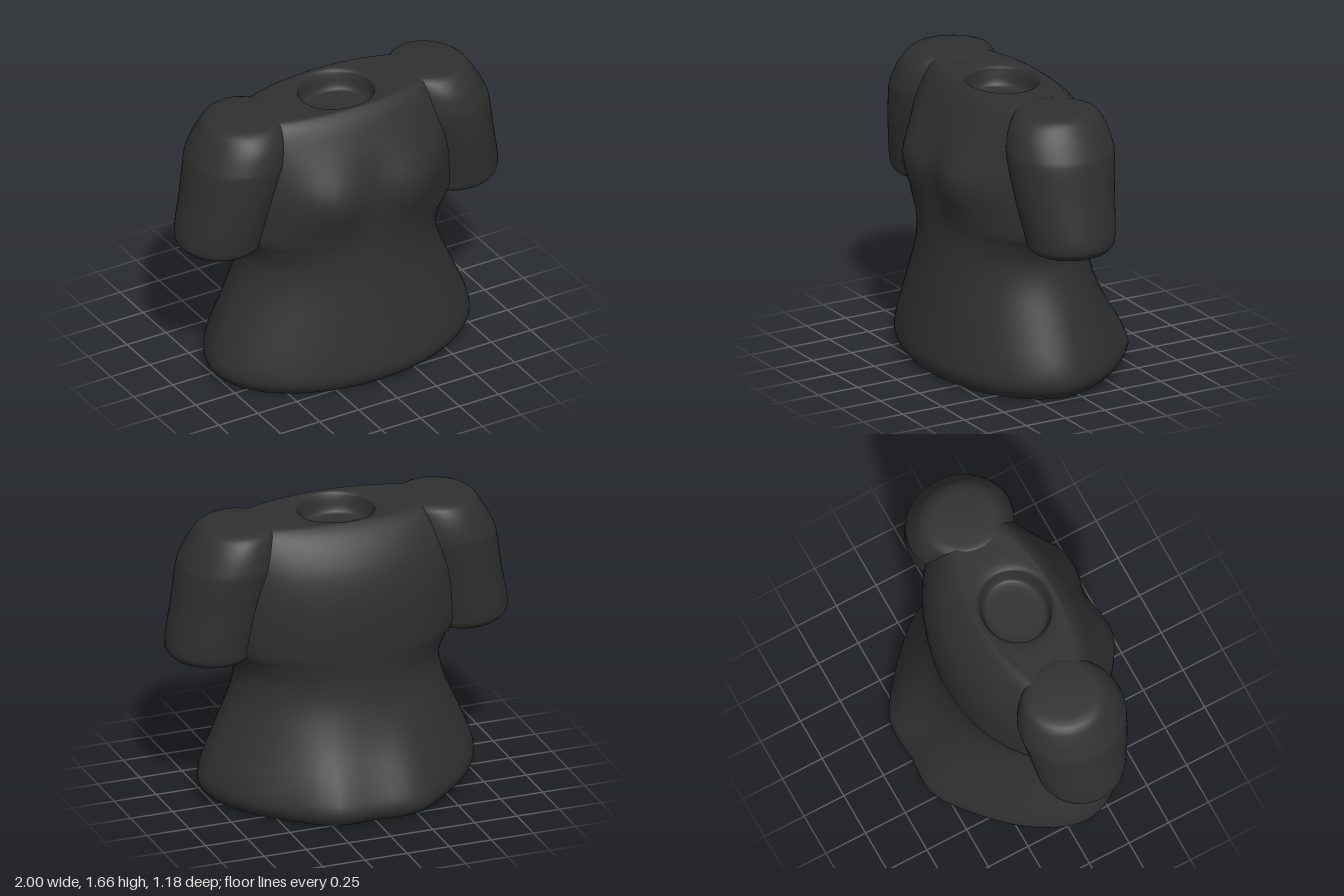
import * as THREE from 'three';

const SEG = 64, SUB = 4;
const gauss = (d, s) => Math.exp(-(d * d) / (s * s));

// Catmull-Rom blend of four rows of numbers
function blend(p0, p1, p2, p3, t) {
  return p1.map((b, k) => {
    const a = p0[k], c = p2[k], d = p3[k];
    return 0.5 * (2 * b + (c - a) * t + (2 * a - 5 * b + 4 * c - d) * t * t + (3 * b - a - 3 * c + d) * t * t * t);
  });
}

// Skin through closed cross-sections; row = [y, centre x, half width, z front, z back, z centre]
function loft(rows, shape) {
  const rings = [];
  for (let i = 0; i < rows.length - 1; i++) {
    for (let s = 0; s < SUB; s++) {
      rings.push(blend(rows[Math.max(i - 1, 0)], rows[i], rows[i + 1], rows[Math.min(i + 2, rows.length - 1)], s / SUB));
    }
  }
  rings.push(rows[rows.length - 1]);
  const pos = [], index = [];
  rings.forEach(([y, cx, hw, zf, zb, cz], i) => {
    for (let j = 0; j < SEG; j++) {
      const a = (j / SEG) * Math.PI * 2, s = Math.sin(a);
      const p = new THREE.Vector3(cx + hw * Math.cos(a), Math.max(y, 0), cz + (s > 0 ? zf - cz : cz - zb) * s);
      if (shape) shape(p, s, cz, cz - zb);
      pos.push(p.x, p.y, p.z);
      if (i < rings.length - 1) {
        const k = (j + 1) % SEG, r = i * SEG, u = r + SEG;
        index.push(r + j, u + j, r + k, r + k, u + j, u + k);
      }
    }
  });
  const g = new THREE.BufferGeometry();
  g.setAttribute('position', new THREE.Float32BufferAttribute(pos, 3));
  g.setIndex(index);
  g.computeVertexNormals();
  return g;
}

// Chest and seat swellings on the torso
function shapeTorso(p, s, cz, depth) {
  const ax = Math.abs(p.x);
  if (s > 0) {
    p.z += 0.085 * gauss(ax - 0.26, 0.22) * gauss(p.y - 1.19, 0.19) * Math.min(1, s * 1.5);
  } else {
    const low = 1 - THREE.MathUtils.smoothstep(p.y, 0.1, 0.7);
    p.z = cz - depth * Math.pow(-s, 1 + 0.3 * low);
    if (p.y > 0.015) p.z -= 0.045 * low * gauss(ax - 0.25, 0.16);
  }
}

export function createModel() {
  const model = new THREE.Group();
  const cloth = new THREE.MeshStandardMaterial({ color: 0x303030 });
  const add = (name, geometry) => {
    const mesh = new THREE.Mesh(geometry, cloth);
    mesh.name = name;
    model.add(mesh);
  };

  // Torso: closed hem, waist, chest, shoulders, then down into the neck recess
  const torso = [
    [0, 0, 0, 0.08, 0.08, 0.08],
    [0, 0, 0.45, 0.36, -0.3, 0.08],
    [0, 0, 0.69, 0.51, -0.49, 0.08],
    [0.025, 0, 0.75, 0.56, -0.55, 0.08],
    [0.09, 0, 0.8, 0.59, -0.575, 0.08],
    [0.2, 0, 0.785, 0.58, -0.53, 0.08],
    [0.4, 0, 0.7, 0.55, -0.43, 0.08],
    [0.6, 0, 0.615, 0.52, -0.365, 0.08],
    [0.75, 0, 0.59, 0.505, -0.345, 0.08],
    [0.86, 0, 0.635, 0.5, -0.35, 0.08],
    [0.95, 0, 0.69, 0.5, -0.36, 0.08],
    [1.2, 0, 0.7, 0.5, -0.368, 0.08],
    [1.38, 0, 0.7, 0.47, -0.34, 0.08],
    [1.5, 0, 0.69, 0.425, -0.29, 0.08],
    [1.6, 0, 0.66, 0.37, -0.22, 0.08],
    [1.65, 0, 0.6, 0.32, -0.16, 0.08],
    [1.652, 0, 0.4, 0.3, -0.14, 0.08],
    [1.645, 0, 0.235, 0.285, -0.125, 0.08],
    [1.61, 0, 0.215, 0.27, -0.11, 0.08],
    [1.55, 0, 0.2, 0.255, -0.095, 0.08],
    [1.53, 0, 0.16, 0.22, -0.06, 0.08],
    [1.53, 0, 0, 0.08, 0.08, 0.08],
  ];
  add('torso', loft(torso, shapeTorso));

  // Sleeves: y, inner x, outer x, z front, z back
  const sleeve = [
    [0.88, 0.72, 0.72, 0.08, 0.08],
    [0.88, 0.56, 0.92, 0.25, -0.1],
    [0.905, 0.52, 0.975, 0.31, -0.155],
    [0.97, 0.5, 1.0, 0.33, -0.175],
    [1.2, 0.44, 0.96, 0.37, -0.2],
    [1.4, 0.38, 0.93, 0.39, -0.225],
    [1.47, 0.37, 0.905, 0.385, -0.225],
    [1.57, 0.37, 0.85, 0.355, -0.2],
    [1.645, 0.38, 0.79, 0.29, -0.15],
    [1.66, 0.45, 0.68, 0.2, -0.04],
    [1.663, 0.57, 0.57, 0.08, 0.08],
  ];
  for (const [name, side] of [['leftSleeve', 1], ['rightSleeve', -1]]) {
    add(name, loft(sleeve.map(([y, a, b, f, k]) => [y, side * (a + b) / 2, (b - a) / 2, f, k, 0.08])));
  }
  return model;
}
